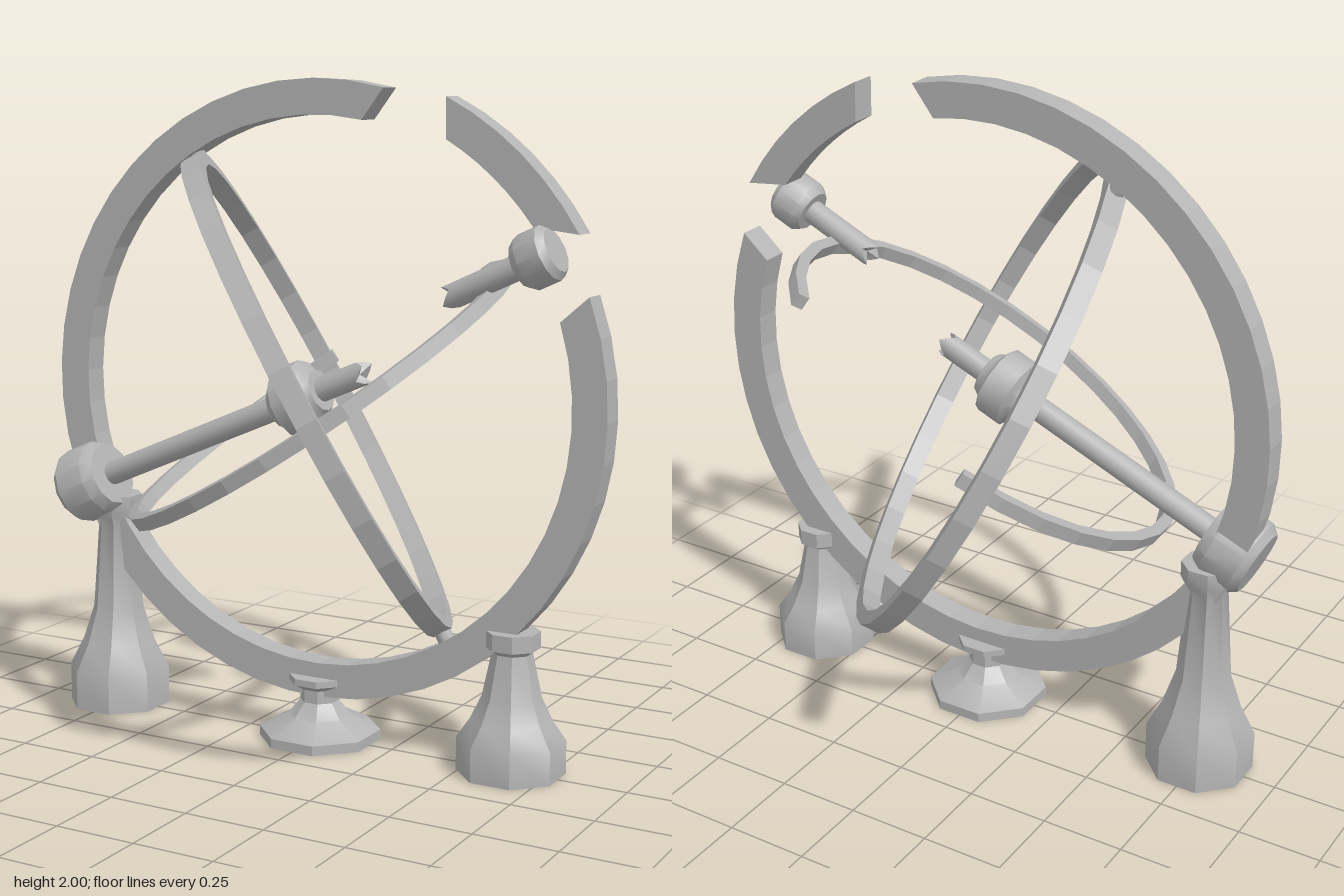
import * as THREE from 'three';
import { toCreasedNormals } from 'three/addons/utils/BufferGeometryUtils.js';

const stone = new THREE.MeshStandardMaterial({ color: 0xb4b4b4 });
stone.name = 'grey stone';

const RAD = Math.PI / 180;
const CENTRE_Y = 1.07;

function part(name, geometry) {
  const mesh = new THREE.Mesh(geometry, stone);
  mesh.name = name;
  return mesh;
}

// Flat band along an arc; separate inner and outer end angles give slanted breaks.
function band(name, rIn, rOut, depth, outer, inner, segments) {
  const points = [];
  const addArc = (r, from, to) => {
    for (let i = 0; i <= segments; i++) {
      const a = (from + (to - from) * i / segments) * RAD;
      points.push(new THREE.Vector2(r * Math.cos(a), r * Math.sin(a)));
    }
  };
  addArc(rOut, outer[0], outer[1]);
  addArc(rIn, inner[1], inner[0]);
  const geometry = new THREE.ExtrudeGeometry(new THREE.Shape(points), { depth, bevelEnabled: false });
  geometry.translate(0, 0, -depth / 2);
  return part(name, geometry);
}

// Turned piece from [radius, height] pairs, running along +y.
function turned(name, profile, sides) {
  const points = profile.map(([r, y]) => new THREE.Vector2(r, y));
  const geometry = new THREE.LatheGeometry(points, sides);
  return part(name, toCreasedNormals(geometry, 35 * RAD));
}

// Rod whose upper end is splintered by shifting the end ring up and down.
function brokenRod(name, radius, length) {
  const geometry = new THREE.CylinderGeometry(radius, radius, length, 12, 1);
  geometry.translate(0, length / 2, 0);
  const p = geometry.attributes.position;
  for (let i = 0; i < p.count; i++) {
    if (p.getY(i) < length * 0.9) continue;
    const a = Math.atan2(p.getZ(i), p.getX(i));
    const rim = Math.hypot(p.getX(i), p.getZ(i)) > radius * 0.5;
    p.setY(i, length + (rim ? 0.018 * Math.cos(3 * a) : -0.015));
  }
  return part(name, toCreasedNormals(geometry, 35 * RAD));
}

function octagonStand(name, x, profile) {
  // Widths are measured across the flats.
  const k = 1 / Math.cos(Math.PI / 8);
  const stand = turned(name, profile.map(([r, y]) => [r * k, y]), 8);
  stand.rotation.y = Math.PI / 8;
  stand.position.x = x;
  return stand;
}

export function createModel() {
  const model = new THREE.Group();
  model.name = 'brokenArmillarySphere';

  // Upright outer ring with a broken-off fragment
  const rings = new THREE.Group();
  rings.name = 'rings';
  rings.position.y = CENTRE_Y;
  rings.add(band('outerRing', 0.825, 0.93, 0.08, [75.7, 381], [78.9, 378.3], 42));
  rings.add(band('outerRingFragment', 0.87, 0.975, 0.08, [31, 64], [36.6, 60.5], 6));

  // Tilted full ring hung on two pivots
  const u = new THREE.Vector3(-0.52, 0.854, 0).normalize();
  const v = new THREE.Vector3(0.357, 0.217, 0.905).normalize();
  const n = u.clone().cross(v).normalize();
  const tilted = new THREE.Group();
  tilted.name = 'tiltedRing';
  tilted.quaternion.setFromRotationMatrix(new THREE.Matrix4().makeBasis(u, v, n));
  tilted.add(band('middleRing', 0.755, 0.8, 0.06, [0, 360], [0, 360], 32));
  for (const side of [-1, 1]) {
    const pivot = part('ringPivot', new THREE.CylinderGeometry(0.025, 0.025, 0.07, 8));
    pivot.rotation.z = Math.PI / 2;
    pivot.position.x = side * 0.815;
    tilted.add(pivot);
  }
  rings.add(tilted);

  // Small inner ring, broken open at the back
  const a = new THREE.Vector3(-0.29, 0.03, -0.62).normalize();
  const m = new THREE.Vector3(-0.488, 0.83, 0.268);
  m.addScaledVector(a, -m.dot(a)).normalize();
  const b = m.clone().cross(a);
  const inner = band('innerRing', 0.645, 0.68, 0.042, [0, 294], [0, 294], 26);
  inner.quaternion.setFromRotationMatrix(new THREE.Matrix4().makeBasis(a, b, m));
  rings.add(inner);
  model.add(rings);

  // Lower axle: end knob, rod, hub with collars
  const axle = new THREE.Group();
  axle.name = 'lowerAxle';
  axle.position.set(-0.8, 0.735, 0.05);
  axle.rotation.z = -67 * RAD;
  axle.add(turned('endKnob', [[0, -0.085], [0.1, -0.085], [0.12, -0.06], [0.12, 0.04], [0.1, 0.075], [0, 0.075]], 12));
  axle.add(brokenRod('axleRod', 0.037, 1.06));
  const hub = turned('hub', [[0, -0.08], [0.065, -0.08], [0.08, -0.055], [0.108, -0.04], [0.108, 0.04],
    [0.08, 0.055], [0.065, 0.08], [0, 0.08]], 12);
  hub.position.y = 0.825;
  axle.add(hub);
  model.add(axle);

  // Upper axle fragment, pointing back down toward the hub
  const upper = new THREE.Group();
  upper.name = 'upperAxle';
  upper.position.set(0.72, 1.505, 0.055);
  upper.rotation.z = 114.5 * RAD;
  upper.add(turned('upperKnob', [[0, -0.06], [0.065, -0.06], [0.083, -0.04], [0.083, 0.03], [0.065, 0.055], [0, 0.055]], 12));
  upper.add(brokenRod('upperRod', 0.037, 0.29));
  model.add(upper);

  // Three octagonal stands
  model.add(octagonStand('rightStand', -0.75, [[0, 0], [0.15, 0], [0.15, 0.12], [0.108, 0.21], [0.075, 0.32],
    [0.055, 0.6], [0.075, 0.64], [0.075, 0.69], [0, 0.69]]));
  model.add(octagonStand('middleStand', 0, [[0, 0], [0.173, 0], [0.173, 0.03], [0.09, 0.075], [0.055, 0.12],
    [0.055, 0.16], [0.088, 0.18], [0.088, 0.2], [0, 0.2]]));
  model.add(octagonStand('leftStand', 0.64, [[0, 0], [0.148, 0], [0.148, 0.1], [0.11, 0.16], [0.08, 0.23],
    [0.055, 0.36], [0.075, 0.375], [0.075, 0.425], [0, 0.425]]));

  return model;
}
